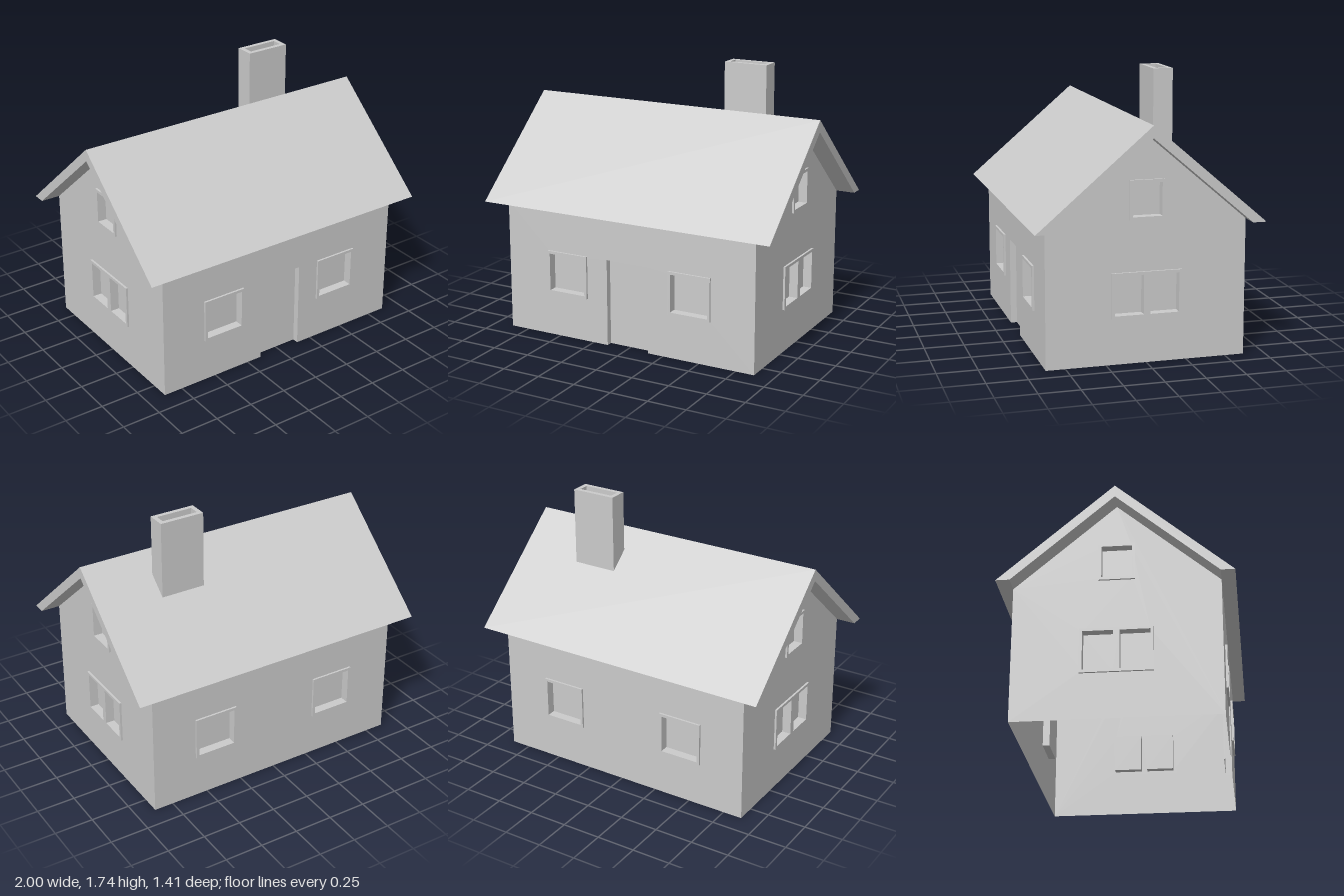
import * as THREE from 'three';

const HX = 0.875, HZ = 0.62;          // half width and half depth of the walls
const EAVE = 0.85, APEX = 1.38;       // wall top and gable tip
const ROOF_Z = 0.705, RIDGE = 1.455;  // outer roof edge and ridge
const FRAME = 0.018, PROUD = 0.013, RECESS = 0.045;

const material = new THREE.MeshStandardMaterial({ color: 0xcccccc, flatShading: true, side: THREE.DoubleSide });

function add(parent, geometry, name) {
  const mesh = new THREE.Mesh(geometry, material);
  mesh.name = name;
  parent.add(mesh);
  return mesh;
}

const polygon = (points) => new THREE.Shape(points.map(([x, y]) => new THREE.Vector2(x, y)));

function rectangle(x0, y0, x1, y1) {
  return polygon([[x0, y0], [x1, y0], [x1, y1], [x0, y1]]);
}

const extrude = (shape, depth) => new THREE.ExtrudeGeometry(shape, { depth, bevelEnabled: false });

// Box lacking the given sides (0 +x, 1 -x, 2 +y, 3 -y, 4 +z, 5 -z), spanning z0 to z1
function openBox([x0, y0, x1, y1], z0, z1, missing) {
  const geometry = new THREE.BoxGeometry(x1 - x0, y1 - y0, z1 - z0);
  const index = Array.from(geometry.index.array);
  geometry.setIndex(index.filter((_, i) => !missing.includes(Math.floor(i / 6))));
  geometry.clearGroups();
  return geometry.translate((x0 + x1) / 2, (y0 + y1) / 2, (z0 + z1) / 2);
}

// Raised frame with one or more recessed panes, in the plane of its wall
function addWindow(wall, { rect: [x0, y0, x1, y1], panes = 1 }) {
  const windowGroup = new THREE.Group();
  windowGroup.name = 'window';
  wall.add(windowGroup);
  const frame = rectangle(x0, y0, x1, y1);
  const bar = panes > 1 ? 0.04 : 0;
  const width = (x1 - x0 - 2 * FRAME - bar * (panes - 1)) / panes;
  for (let i = 0; i < panes; i++) {
    const left = x0 + FRAME + i * (width + bar);
    const hole = [left, y0 + FRAME, left + width, y1 - FRAME];
    frame.holes.push(rectangle(...hole));
    add(windowGroup, openBox(hole, -RECESS, PROUD, [4]), 'windowPane');
  }
  add(windowGroup, extrude(frame, PROUD), 'windowFrame');
  return frame.holes;
}

// Thin wall drawn in its own plane, then turned to face outwards
function addWall(house, name, outline, windows, angle, distance) {
  const wall = new THREE.Group();
  wall.name = name;
  wall.rotation.y = angle;
  wall.position.set(Math.sin(angle) * distance, 0, Math.cos(angle) * distance);
  house.add(wall);
  const shape = polygon(outline);
  for (const w of windows) shape.holes.push(...addWindow(wall, w));
  add(wall, new THREE.ShapeGeometry(shape), name + 'Panel');
  return wall;
}

export function createModel() {
  const house = new THREE.Group();
  house.name = 'house';

  // Long walls, the front one with a door notch
  const longWindows = [{ rect: [-0.58, 0.285, -0.29, 0.565] }, { rect: [0.29, 0.285, 0.58, 0.565] }];
  const corners = [[HX, 0], [HX, EAVE], [-HX, EAVE], [-HX, 0]];
  const door = [-0.147, 0, 0.147, 0.565];
  const notch = [[door[0], 0], [door[0], door[3]], [door[2], door[3]], [door[2], 0]];
  const front = addWall(house, 'frontWall', [...corners, ...notch], longWindows, 0, HZ);
  add(front, openBox(door, -0.04, 0, [3, 4]), 'door');
  addWall(house, 'backWall', corners, longWindows, Math.PI, HZ);

  // Gable walls
  const gable = [[-HZ, 0], [HZ, 0], [HZ, EAVE], [0, APEX], [-HZ, EAVE]];
  const gableWindows = [
    { rect: [-0.218, 0.285, 0.218, 0.565], panes: 2 },
    { rect: [-0.109, 0.88, 0.109, 1.12] },
  ];
  for (const [name, side] of [['leftGable', 1], ['rightGable', -1]]) {
    addWall(house, name, gable, gableWindows, side * Math.PI / 2, HX);
  }

  // Roof: a chevron section with level eaves, run along x
  const section = polygon([[-ROOF_Z, EAVE], [-HZ, EAVE], [0, APEX], [HZ, EAVE], [ROOF_Z, EAVE], [0, RIDGE]]);
  add(house, extrude(section, 2).translate(0, 0, -1).rotateY(Math.PI / 2), 'roof');

  // Chimney: its foot follows the roof slope, its top is a hollow rim
  const chimney = new THREE.Group();
  chimney.name = 'chimney';
  chimney.position.set(0.435, 0, -0.187);
  house.add(chimney);
  const w = 0.145, d = 0.061, top = 1.735, rimDepth = 0.06;
  const stack = new THREE.BoxGeometry(2 * w, 1, 2 * d);
  const p = stack.attributes.position;
  for (let i = 0; i < p.count; i++) {
    const roofY = RIDGE + (p.getZ(i) + chimney.position.z) * (RIDGE - EAVE) / ROOF_Z;
    p.setY(i, p.getY(i) > 0 ? top - rimDepth : roofY - 0.02);
  }
  add(chimney, stack, 'chimneyStack');
  const rim = rectangle(-w, -d, w, d);
  rim.holes.push(rectangle(-w + 0.028, -d + 0.028, w - 0.028, d - 0.028));
  add(chimney, extrude(rim, rimDepth).rotateX(-Math.PI / 2).translate(0, top - rimDepth, 0), 'chimneyRim');

  return house;
}
